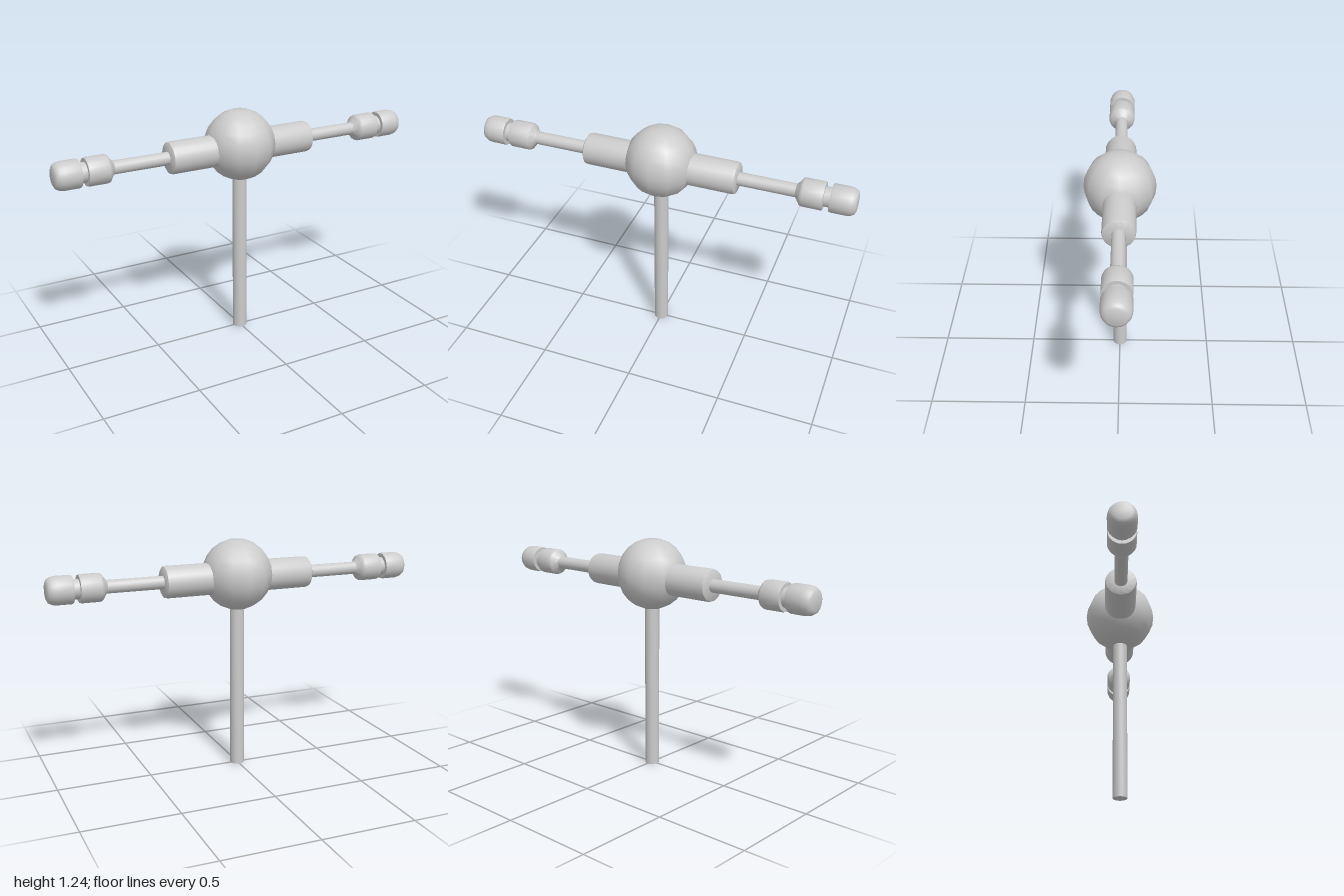
import * as THREE from 'three';
import { toCreasedNormals } from 'three/addons/utils/BufferGeometryUtils.js';

const material = new THREE.MeshStandardMaterial({ color: 0xcccccc });

// Turned solid about y; profile is [radius, height] from bottom to top
function turned(name, profile, sides) {
  const points = profile.map(([r, y]) => new THREE.Vector2(r, y));
  const geometry = toCreasedNormals(new THREE.LatheGeometry(points, sides), 0.75);
  const mesh = new THREE.Mesh(geometry, material);
  mesh.name = name;
  return mesh;
}

export function createModel() {
  const model = new THREE.Group();
  model.name = 'crossHandle';

  // Upright post
  model.add(turned('post', [[0, 0], [0.038, 0], [0.038, 0.92], [0, 0.92]], 20));

  // Central ball with flattened poles, twelve sides around
  const ballProfile = [[0, -0.181]];
  for (let i = 1; i < 12; i++) {
    const a = (i / 12) * Math.PI;
    ballProfile.push([0.186 * Math.sin(a), -0.187 * Math.cos(a)]);
  }
  ballProfile.push([0, 0.181]);
  const ball = turned('ball', ballProfile, 12);
  ball.position.y = 1.054;
  model.add(ball);

  // Two mirrored arms, each a sleeve, a thin rod and a grooved knob
  for (const side of [1, -1]) {
    const arm = new THREE.Group();
    arm.name = side > 0 ? 'leftArm' : 'rightArm';
    arm.add(
      turned('sleeve', [[0, 0.02], [0.083, 0.02], [0.083, 0.39], [0.08, 0.402], [0.07, 0.408], [0, 0.408]], 24),
      turned('rod', [[0.034, 0.38], [0.034, 0.73]], 20),
      turned('knob', [
        [0.034, 0.7], [0.04, 0.707], [0.058, 0.72], [0.068, 0.727], [0.072, 0.738],
        [0.072, 0.832], [0.069, 0.84], [0.05, 0.84],
        [0.05, 0.872], [0.069, 0.872], [0.072, 0.88],
        [0.072, 0.955], [0.068, 0.977], [0.059, 0.993], [0.045, 1], [0, 1],
      ], 24),
    );
    arm.rotation.z = -side * Math.PI / 2;
    arm.position.y = 1.04;
    model.add(arm);
  }
  return model;
}
